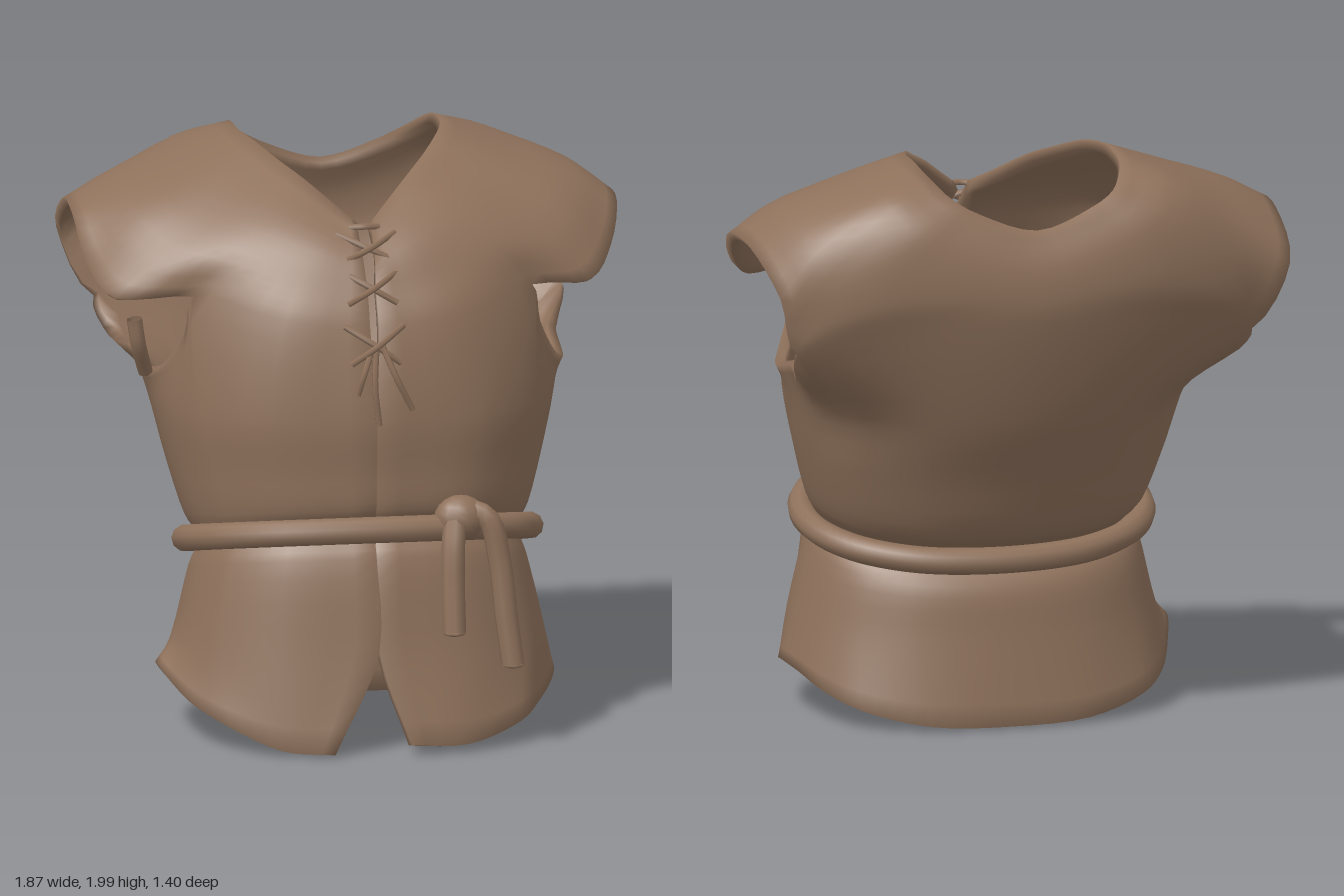
import * as THREE from 'three';
import { mergeVertices } from 'three/addons/utils/BufferGeometryUtils.js';

const V = (p) => new THREE.Vector3(...p);
const SUB = 4; // subdivisions between neighbouring control points
const THICKNESS = 0.035;

// Half rings run from the front opening round the side to the middle of the back.
const neck = [[.025, 1.77, .28], [.09, 1.82, .2], [.18, 1.89, .1], [.25, 1.935, 0], [.31, 1.975, -.11], [.345, 1.99, -.22],
  [.35, 1.99, -.34], [.34, 1.965, -.47], [.28, 1.9, -.585], [.19, 1.85, -.615], [0, 1.79, -.635]];
const shoulder = [[.02, 1.66, .4], [.17, 1.72, .35], [.33, 1.78, .25], [.45, 1.83, .12], [.52, 1.89, -.03], [.55, 1.92, -.2],
  [.55, 1.925, -.38], [.51, 1.9, -.55], [.45, 1.81, -.64], [.3, 1.74, -.67], [0, 1.68, -.685]];
const upperArm = [[.015, 1.56, .46], [.24, 1.6, .42], [.48, 1.66, .3], [.64, 1.69, .2], [.74, 1.77, .06], [.79, 1.83, -.14],
  [.78, 1.83, -.36], [.75, 1.74, -.54], [.68, 1.58, -.6], [.4, 1.58, -.67], [0, 1.58, -.7]];
const capEdge = [[.015, 1.45, .51], [.3, 1.48, .47], [.58, 1.53, .27], [.79, 1.53, .22], [.88, 1.62, .09], [.93, 1.73, -.1],
  [.92, 1.72, -.32], [.87, 1.58, -.51], [.8, 1.37, -.49], [.45, 1.45, -.62], [0, 1.48, -.69]];
const hem = [[.1, .04, .68], [.3, .03, .65], [.5, .08, .54], [.58, .12, .42], [.64, .155, .29], [.67, .18, .17],
  [.65, .165, .02], [.6, .12, -.1], [.5, .07, -.22], [.28, .02, -.32], [0, .01, -.345]];

// Copy of a half ring with some points replaced
function vary(half, first, points) {
  const out = half.slice();
  out.splice(first, points.length, ...points);
  return out;
}
const armpit = vary(capEdge, 3, [[.61, 1.4, .25], [.67, 1.28, .17], [.72, 1.23, .06], [.73, 1.27, -.15], [.77, 1.26, -.36]]);
const rightCap = vary(capEdge, 3, [[.84, 1.52, .2], [.91, 1.6, .06], [.935, 1.74, -.1], [.93, 1.75, -.34], [.92, 1.6, -.54]]);
const rightHem = vary(hem, 0, [[.16, .01, .66], [.33, .02, .62], [.5, .09, .53], [.61, .15, .42], [.67, .21, .31], [.7, .25, .2], [.66, .19, .04]]);

// Oval body section, tilted so its height follows z
const ANGLES = [.05, 28, 52, 64, 76, 90, 104, 118, 134, 156, 180];
function oval(xr, front, back, y, tilt) {
  return ANGLES.map((deg) => {
    const a = deg * Math.PI / 180;
    const z = (front + back) / 2 + (front - back) / 2 * Math.cos(a);
    return [deg === 180 ? 0 : xr * Math.pow(Math.sin(a), .85), y + tilt * z, z];
  });
}
const chest = oval(.69, .57, -.56, 1.13, .03);
const ribs = oval(.64, .56, -.435, .92, .08);
const aboveBelt = oval(.585, .55, -.31, .72, .2);
const waist = oval(.545, .51, -.195, .63, .24);
const belowBelt = oval(.575, .56, -.27, .54, .22);
const hips = oval(.635, .615, -.3, .32, .04);
const beltLine = oval(.588, .555, -.255, .63, .24);

const mirror = (p) => [-p[0], p[1], p[2]];
const full = (left, right = left) => left.concat(right.slice(0, -1).reverse().map(mirror));

// Smooth line with a fixed number of points between controls
function sample(points) {
  const n = (points.length - 1) * SUB;
  const c = new THREE.CatmullRomCurve3(points);
  return Array.from({ length: n + 1 }, (_, i) => c.getPoint(i / n));
}

function tube(name, points, radius, mat, closed = false, segs = 24, sides = 8) {
  const curve = new THREE.CatmullRomCurve3(points.map(V), closed);
  const mesh = new THREE.Mesh(new THREE.TubeGeometry(curve, segs, radius, sides, closed), mat);
  mesh.name = name;
  return mesh;
}

// Torso cloth: one sheet that splits into cap sleeve and underarm at each armhole
function torsoSheet() {
  const ring = (left, right) => sample(full(left, right).map(V));
  const upper = [neck, shoulder, upperArm].map((r) => ring(r));
  const low = ring(armpit);
  const cap = ring(capEdge, rightCap);
  const lower = [chest, ribs, aboveBelt, waist, belowBelt, hips].map((r) => ring(r));
  lower.push(ring(hem, rightHem));
  const n = low.length;
  const inHole = (i) => { const u = i / SUB; return (u > 2 && u < 8) || (u > 12 && u < 18); };
  const columns = low.map((mid, i) => {
    const a = upper.map((r) => r[i]);
    const b = lower.map((r) => r[i]);
    if (inHole(i)) return [sample([...a, cap[i]]), sample([mid, ...b])];
    const all = sample([...a, mid, ...b]);
    const cut = a.length * SUB;
    return [all.slice(0, cut + 1), all.slice(cut)];
  });
  const pos = [], idx = [];
  for (const part of [0, 1]) {
    const start = pos.length / 3;
    const rows = columns[0][part].length;
    for (let r = 0; r < rows; r++) for (let i = 0; i < n; i++) pos.push(...columns[i][part][r].toArray());
    for (let r = 0; r < rows - 1; r++) {
      for (let i = 0; i < n - 1; i++) {
        const a = start + r * n + i, b = a + n;
        idx.push(a, b, a + 1, b, b + 1, a + 1);
      }
    }
  }
  let geo = new THREE.BufferGeometry();
  geo.setAttribute('position', new THREE.Float32BufferAttribute(pos, 3));
  geo.setIndex(idx);
  geo = mergeVertices(geo, 1e-4);
  geo.computeVertexNormals();
  return geo;
}

// Gives a sheet an inner lining and closes its open edges
function thicken(sheet, depth) {
  const p = sheet.attributes.position, nor = sheet.attributes.normal;
  const n = p.count;
  const pos = Array.from(p.array);
  for (let i = 0; i < n * 3; i++) pos.push(p.array[i] - nor.array[i] * depth);
  const tri = Array.from(sheet.index.array);
  const idx = tri.slice();
  const edges = new Map();
  for (let t = 0; t < tri.length; t += 3) {
    idx.push(tri[t] + n, tri[t + 2] + n, tri[t + 1] + n);
    for (let k = 0; k < 3; k++) {
      const a = tri[t + k], b = tri[t + (k + 1) % 3];
      edges.set(a + '_' + b, [a, b]);
    }
  }
  for (const [a, b] of edges.values()) {
    if (!edges.has(b + '_' + a)) idx.push(b, a, a + n, b, a + n, b + n);
  }
  const geo = new THREE.BufferGeometry();
  geo.setAttribute('position', new THREE.Float32BufferAttribute(pos, 3));
  geo.setIndex(idx);
  geo.computeVertexNormals();
  return geo;
}

export function createModel() {
  const group = new THREE.Group();
  const cloth = new THREE.MeshStandardMaterial({ color: 0x8e715b, side: THREE.DoubleSide });
  cloth.name = 'brown cloth';

  const torso = new THREE.Mesh(thicken(torsoSheet(), THICKNESS), cloth);
  torso.name = 'tunicBody';
  group.add(torso);

  // Rope belt lying in the waist groove
  group.add(tube('belt', full(beltLine).slice(0, -1), .046, cloth, true, 96, 10));

  // Knot and hanging belt ends
  const knot = new THREE.Mesh(new THREE.SphereGeometry(1, 14, 10), cloth);
  knot.name = 'beltKnot';
  knot.scale.set(.09, .078, .07);
  knot.position.set(.29, .79, .53);
  group.add(knot);
  const ends = [
    [[.27, .8, .55], [.255, .7, .6], [.25, .56, .63], [.25, .42, .655]],
    [[.31, .82, .53], [.38, .79, .56], [.42, .64, .57], [.44, .45, .585], [.46, .29, .6]],
  ];
  ends.forEach((path, i) => {
    group.add(tube('beltEnd' + (i + 1), path, .04, cloth, false, 20, 8));
    const tip = new THREE.Mesh(new THREE.SphereGeometry(.04, 8, 6), cloth);
    tip.name = 'beltTip' + (i + 1);
    tip.scale.y = .3;
    tip.position.set(...path[path.length - 1]);
    group.add(tip);
  });

  // Small strap across the right armhole
  group.add(tube('armholeStrap', [[-.77, 1.44, .18], [-.755, 1.35, .17], [-.72, 1.24, .1]], .028, cloth, false, 10, 6));

  // Crossed laces down the front opening
  const frontZ = (y) => .585 - .75 * Math.pow(Math.max(0, y - 1.15), 2);
  const lace = (name, pts) => group.add(tube(name, pts.map(([x, y, lift = .01]) => [x, y, frontZ(y) + lift]), .011, cloth, false, 12, 5));
  [[1.74, 1.66], [1.63, 1.53], [1.46, 1.34]].forEach(([top, bottom], i) => {
    for (const s of [-1, 1]) {
      lace('lace' + (i + 1) + (s < 0 ? 'Right' : 'Left'),
        [[s * .1, top, -.01], [0, (top + bottom) / 2, .02 + s * .008], [-s * .085, bottom, -.005]]);
    }
  });
  lace('laceTopBar', [[-.05, 1.755, -.02], [0, 1.76, 0], [.05, 1.755, -.02]]);
  lace('laceEndRight', [[-.02, 1.38], [-.05, 1.31, .025], [-.07, 1.24, .005]]);
  lace('laceEndLeft', [[.02, 1.4], [.06, 1.3, .02], [.12, 1.18, -.01]]);
  lace('laceEndMiddle', [[0, 1.4], [-.01, 1.27, .005], [.005, 1.13, -.01]]);

  return group;
}
